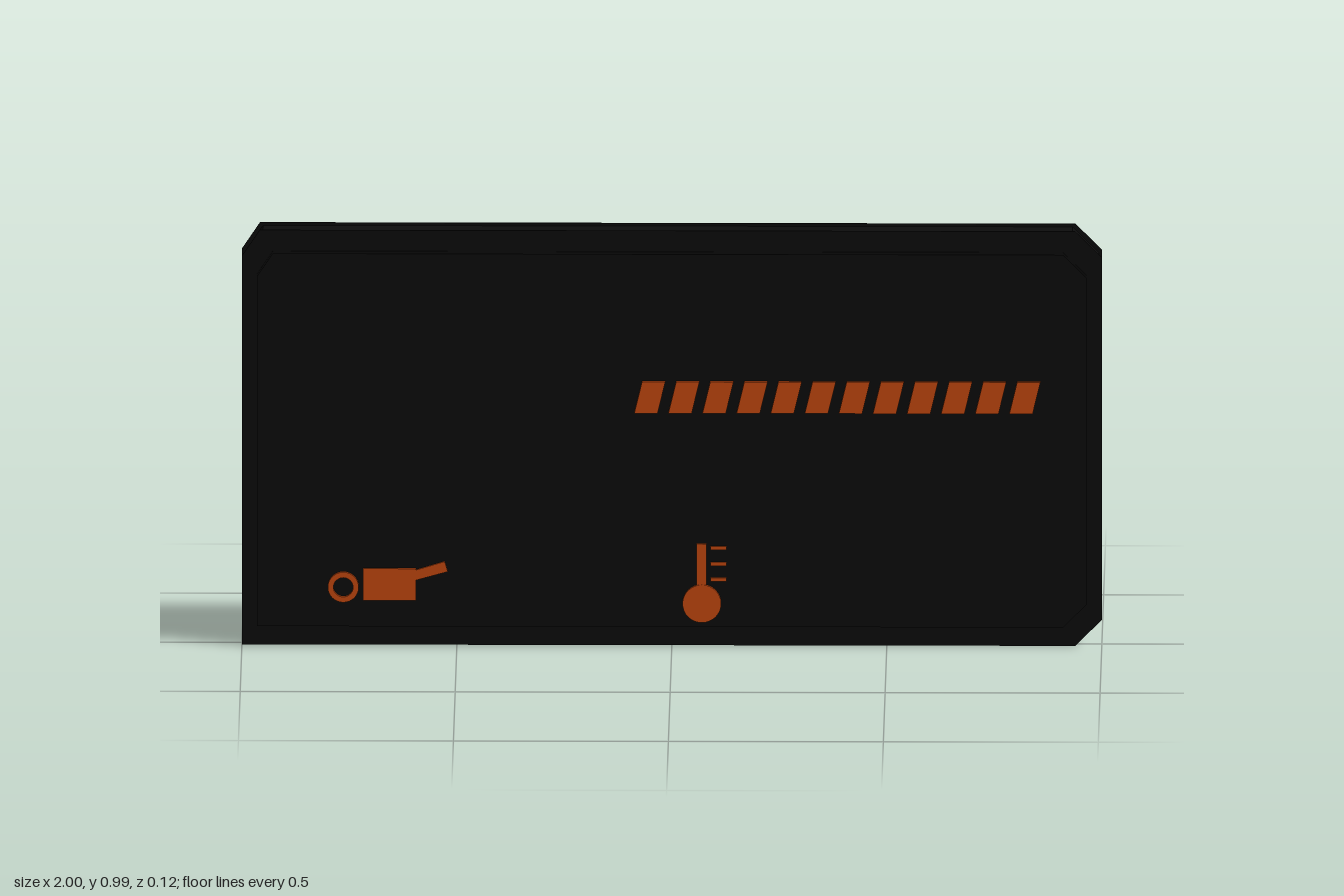
import * as THREE from 'three';

const black = new THREE.MeshStandardMaterial({ color: 0x0d0d0d });
black.name = 'black casing';
const orange = new THREE.MeshStandardMaterial({ color: 0xcc4b10 });
orange.name = 'orange marking';

// Outline of straight edges from a list of [x, y] corners
const outline = (pts) => new THREE.Shape(pts.map(([x, y]) => new THREE.Vector2(x, y)));

// Flat part standing between two depths
function plate(name, shape, z0, z1, material) {
  const geo = new THREE.ExtrudeGeometry(shape, { depth: z1 - z0, bevelEnabled: false, curveSegments: 16 });
  geo.translate(0, 0, z0);
  const mesh = new THREE.Mesh(geo, material);
  mesh.name = name;
  return mesh;
}

// Rectangle with three cut corners; the lower corner at -x stays square
function panelShape(x, y0, y1, cut) {
  return outline([
    [-x, y0], [x - cut, y0], [x, y0 + cut], [x, y1 - cut],
    [x - cut, y1], [-x + cut * 0.67, y1], [-x, y1 - cut],
  ]);
}

// Slab whose front and back rims stand slightly proud of its side walls
function slab(name, x, y0, y1, cut, z0, z1) {
  const group = new THREE.Group();
  group.name = name;
  const inset = 0.007, rim = 0.003;
  const full = panelShape(x, y0, y1, cut);
  const inner = panelShape(x - inset, y0 + inset, y1 - inset, cut);
  group.add(
    plate(name + 'BackRim', full, z0, z0 + rim, black),
    plate(name + 'Walls', inner, z0 + rim, z1 - rim, black),
    plate(name + 'FrontRim', full, z1 - rim, z1, black),
  );
  return group;
}

const rect = (x0, x1, y0, y1) => outline([[x0, y0], [x1, y0], [x1, y1], [x0, y1]]);

export function createModel() {
  const model = new THREE.Group();
  model.name = 'displayPanel';

  // Casing and raised front panel
  model.add(slab('casing', 1, 0, 0.99, 0.062, -0.06, 0.02));
  model.add(slab('frontPanel', 0.965, 0.05, 0.94, 0.055, 0.02, 0.047));

  // Row of slanted gauge bars
  const bars = new THREE.Group();
  bars.name = 'gaugeBars';
  for (let i = 0; i < 12; i++) {
    const x = -0.087 + i * 0.0793;
    const shape = outline([[x, 0.563], [x + 0.054, 0.563], [x + 0.072, 0.638], [x + 0.018, 0.638]]);
    bars.add(plate('gaugeBar', shape, 0.05, 0.06, orange));
  }
  model.add(bars);

  // Oil can symbol: ring handle, can and spout
  const oil = new THREE.Group();
  oil.name = 'oilCanSymbol';
  const ring = new THREE.Shape().absarc(-0.764, 0.145, 0.036, 0, Math.PI * 2);
  ring.holes.push(new THREE.Path().absarc(-0.764, 0.145, 0.023, 0, Math.PI * 2, true));
  oil.add(
    plate('oilCanHandle', ring, 0.047, 0.056, orange),
    plate('oilCanBody', rect(-0.718, -0.595, 0.113, 0.189), 0.047, 0.053, orange),
    plate('oilCanSpout', outline([[-0.6, 0.16], [-0.521, 0.182], [-0.528, 0.206], [-0.6, 0.184]]), 0.047, 0.052, orange),
  );
  model.add(oil);

  // Thermometer symbol: bulb, stem and scale ticks
  const thermo = new THREE.Group();
  thermo.name = 'thermometerSymbol';
  const bulb = new THREE.Shape().absarc(0.07, 0.107, 0.045, 0, Math.PI * 2);
  thermo.add(
    plate('thermometerBulb', bulb, 0.047, 0.055, orange),
    plate('thermometerStem', rect(0.057, 0.081, 0.12, 0.249), 0.047, 0.052, orange),
  );
  for (const y of [0.164, 0.201, 0.239]) {
    thermo.add(plate('thermometerTick', rect(0.09, 0.127, y - 0.004, y + 0.004), 0.047, 0.052, orange));
  }
  model.add(thermo);

  return model;
}
